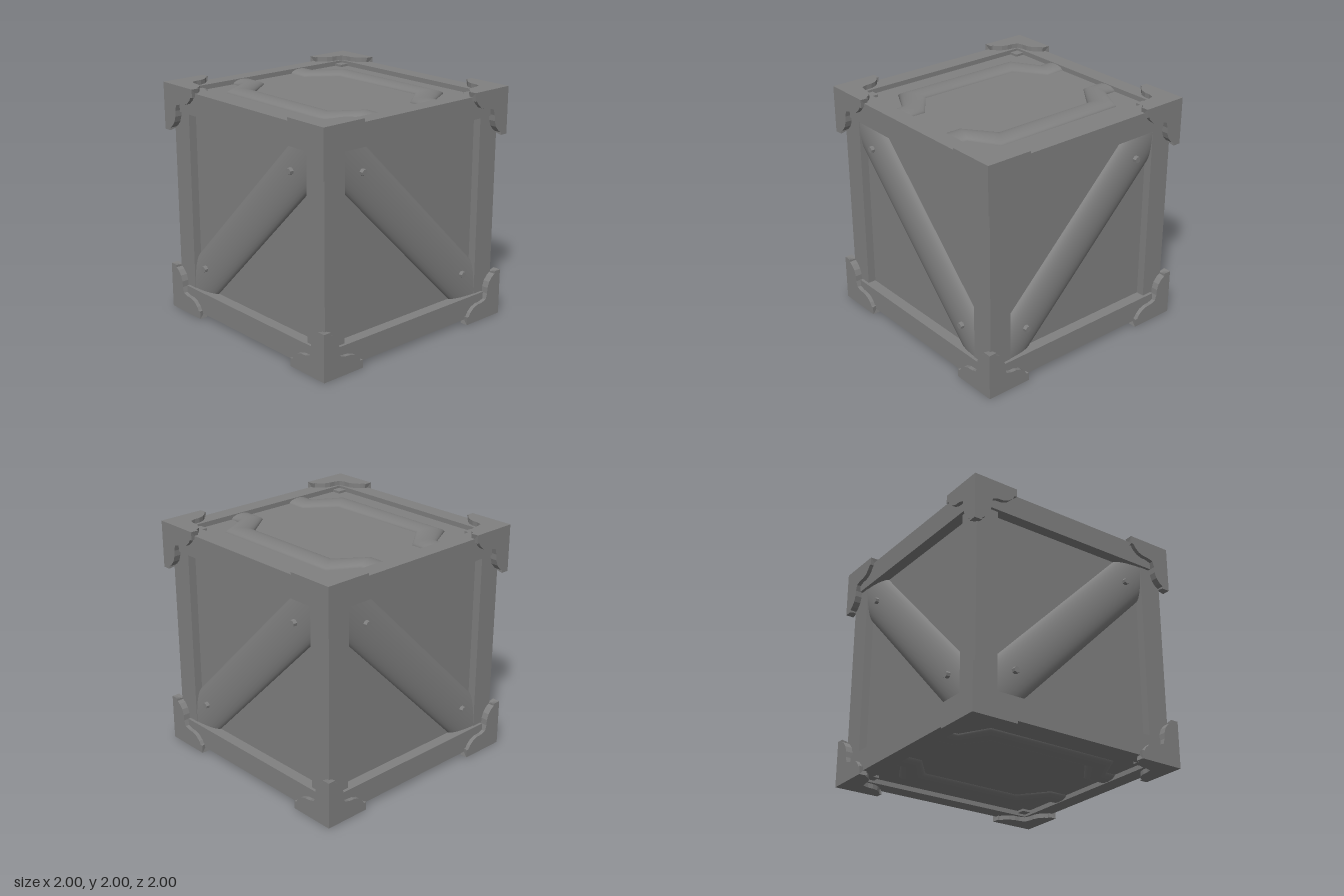
import * as THREE from 'three';

const gray = new THREE.MeshStandardMaterial({ color: 0x808080 });
gray.name = 'gray';

function mesh(name, geometry, parent, x = 0, y = 0, z = 0) {
  const m = new THREE.Mesh(geometry, gray);
  m.name = name;
  m.position.set(x, y, z);
  parent.add(m);
  return m;
}

// Rounded strip bulging toward +z; each pair holds its left and right edge points.
function crownedStrip(pairs, base, height, n = 14) {
  const pos = [], index = [];
  pairs.forEach(([a, b], i) => {
    for (let j = 0; j <= n; j++) {
      const t = (j / n) * Math.PI, s = (1 - Math.cos(t)) / 2;
      pos.push(a[0] + (b[0] - a[0]) * s, a[1] + (b[1] - a[1]) * s, base + height * Math.sin(t));
      if (i < pairs.length - 1 && j < n) {
        const p = i * (n + 1) + j, q = p + n + 1;
        index.push(p, p + 1, q, p + 1, q + 1, q);
      }
    }
  });
  const g = new THREE.BufferGeometry();
  g.setAttribute('position', new THREE.Float32BufferAttribute(pos, 3));
  g.setIndex(index);
  g.computeVertexNormals();
  return g;
}

// Diagonal plank with two bolts, drawn on the +z side.
function sideBrace(dir) {
  const g = new THREE.Group();
  g.name = 'sideBrace';
  const w = 0.138, e = 0.78;
  const ends = [[-e, -e * dir], [e, e * dir]];
  const pairs = ends.map(([x, y]) => [[x - w * dir, y + w], [x + w * dir, y - w]]);
  mesh('plank', crownedStrip(pairs, 0.866, 0.07), g);
  const bolt = new THREE.CylinderGeometry(0.026, 0.03, 0.04, 7).toNonIndexed();
  bolt.computeVertexNormals();
  bolt.rotateX(Math.PI / 2);
  // the bolt near the lower end sits slightly further out
  for (const [x, y] of [[-0.58 * dir, -0.55], [0.56 * dir, 0.57]]) mesh('bolt', bolt, g, x, y, 0.946);
  return g;
}

// Two bent ridges, drawn on the +z side.
function lidRidges() {
  const g = new THREE.Group();
  g.name = 'lidRidges';
  const half = [
    [[-0.86, 0.42], [-0.86, 0.22]],
    [[-0.73, 0.42], [-0.65, 0.22]],
    [[-0.6, 0.66], [-0.46, 0.465]],
  ];
  const flip = ([a, b]) => [[-a[0], a[1]], [-b[0], b[1]]];
  const geo = crownedStrip([...half, ...half.slice().reverse().map(flip)], 0.915, 0.04);
  mesh('ridge', geo, g);
  mesh('ridge', geo, g).rotation.z = Math.PI;
  return g;
}

// Corner guard: three lobed plates meeting at (1, 1, 1).
function cornerGuard() {
  const g = new THREE.Group();
  g.name = 'cornerGuard';
  const lobe = [[0.4, 0], [0.39, 0.05], [0.36, 0.1], [0.32, 0.135], [0.27, 0.152], [0.22, 0.155], [0.17, 0.17]];
  const outline = [[0, 0], ...lobe, ...lobe.slice(0, -1).reverse().map(([u, v]) => [v, u])];
  const shape = new THREE.Shape(outline.map(([u, v]) => new THREE.Vector2(1 - u, 1 - v)));
  const plate = new THREE.ExtrudeGeometry(shape, { depth: 0.07, bevelEnabled: false });
  plate.translate(0, 0, 0.93);
  const axis = new THREE.Vector3(1, 1, 1).normalize();
  for (let i = 0; i < 3; i++) {
    mesh('guardPlate', plate, g).quaternion.setFromAxisAngle(axis, (i * Math.PI * 2) / 3);
  }
  mesh('guardCore', new THREE.BoxGeometry(0.16, 0.16, 0.16), g, 0.91, 0.91, 0.91);
  return g;
}

export function createModel() {
  const model = new THREE.Group();
  model.name = 'crate';
  const crate = new THREE.Group();
  crate.name = 'crateBody';
  crate.position.y = 1;
  model.add(crate);

  // Recessed panels
  mesh('panels', new THREE.BoxGeometry(1.74, 1.84, 1.74), crate);

  const post = new THREE.BoxGeometry(0.2, 1.88, 0.2);
  const rail = new THREE.BoxGeometry(1.66, 0.19, 0.145);

  for (let i = 0; i < 4; i++) {
    const side = new THREE.Group();
    side.name = 'side';
    side.rotation.y = (i * Math.PI) / 2;
    crate.add(side);
    // Frame
    mesh('post', post, side, 0.84, 0, 0.84);
    for (const s of [-1, 1]) mesh('rail', rail, side, 0, s * 0.865, 0.8925);
    // Braces alternate in direction around the crate
    side.add(sideBrace(i % 2 ? -1 : 1));
    // Upper and lower corner guards
    side.add(cornerGuard());
    const lower = cornerGuard();
    lower.rotation.z = Math.PI;
    side.add(lower);
  }

  // Lid and base ridges
  for (const s of [-1, 1]) {
    const ridges = lidRidges();
    ridges.rotation.x = (s * Math.PI) / 2;
    crate.add(ridges);
  }
  return model;
}
